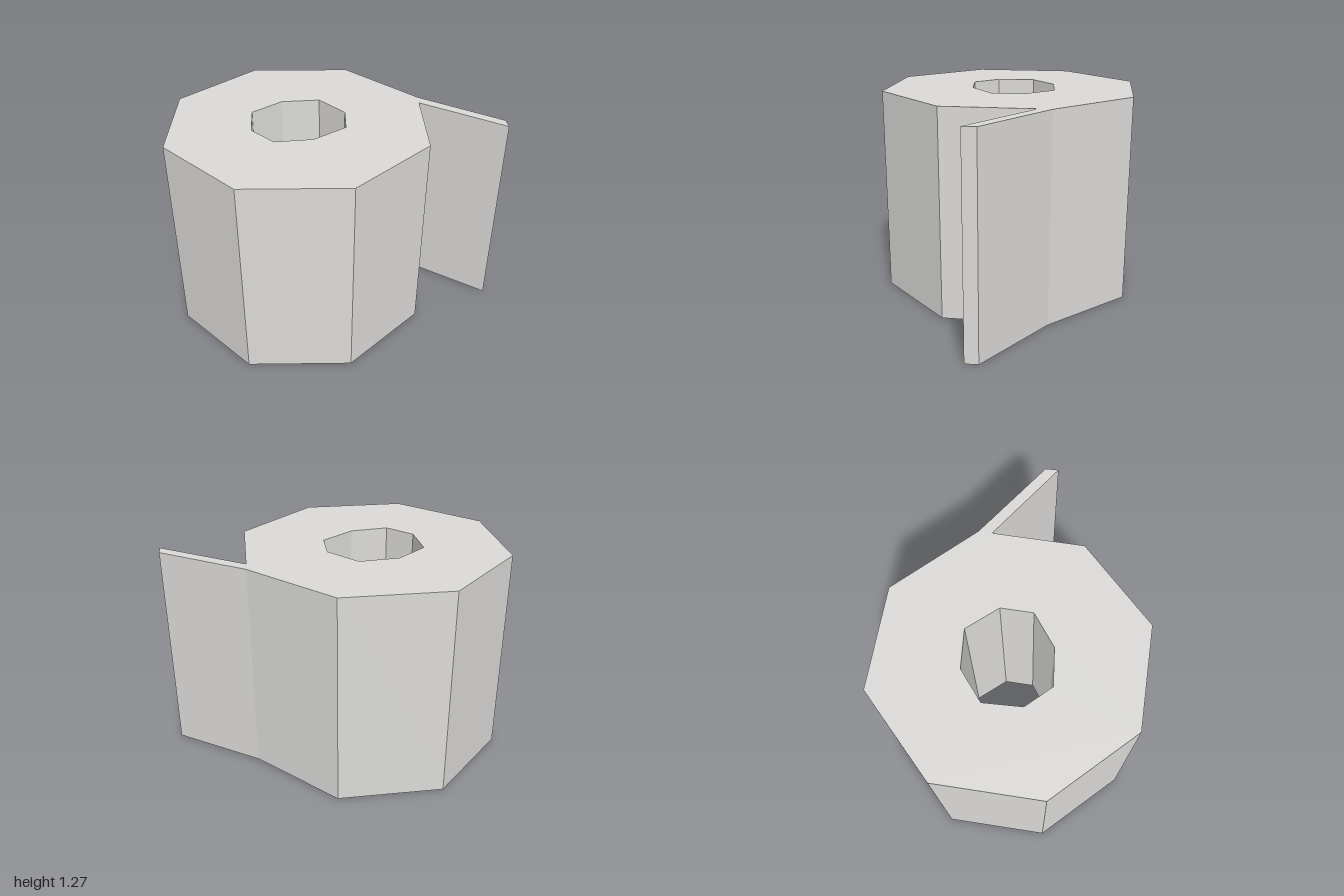
import * as THREE from 'three';

const HEIGHT = 1.27;

// Plan outlines are given as [x, z] pairs and raised straight up from y = 0.
const toPoints = (pairs) => pairs.map(([x, z]) => new THREE.Vector2(x, -z));

function prism(name, outline, material, hole) {
  const shape = new THREE.Shape(toPoints(outline));
  if (hole) shape.holes.push(new THREE.Path(toPoints(hole)));
  const geometry = new THREE.ExtrudeGeometry(shape, { depth: HEIGHT, bevelEnabled: false });
  geometry.rotateX(-Math.PI / 2);
  const mesh = new THREE.Mesh(geometry, material);
  mesh.name = name;
  return mesh;
}

export function createModel() {
  const group = new THREE.Group();
  group.name = 'paperRoll';

  const paper = new THREE.MeshStandardMaterial({ color: 0xdbdad8 });
  paper.name = 'paper';
  paper.flatShading = true;

  // Seam where the loose sheet leaves the roll
  const seamOuter = [0.39, -0.58];
  const seamInner = [0.42, -0.505];

  // Eight-sided roll with an uneven hole right through it
  const rollOutline = [
    [-1, 0], [-0.76, 0.575], [-0.185, 0.815], [0.39, 0.575], [0.63, 0],
    seamInner, seamOuter, [-0.185, -0.817], [-0.76, -0.58],
  ];
  const coreHole = [
    [-0.175, -0.31], [0.035, -0.21], [0.11, -0.03], [-0.01, 0.175],
    [-0.21, 0.287], [-0.39, 0.21], [-0.49, 0], [-0.385, -0.2],
  ];
  group.add(prism('roll', rollOutline, paper, coreHole));

  // Loose end of the sheet, cut at a slant
  const sheetOutline = [seamOuter, seamInner, [1, -0.395], [0.967, -0.467]];
  group.add(prism('looseSheet', sheetOutline, paper));

  return group;
}
